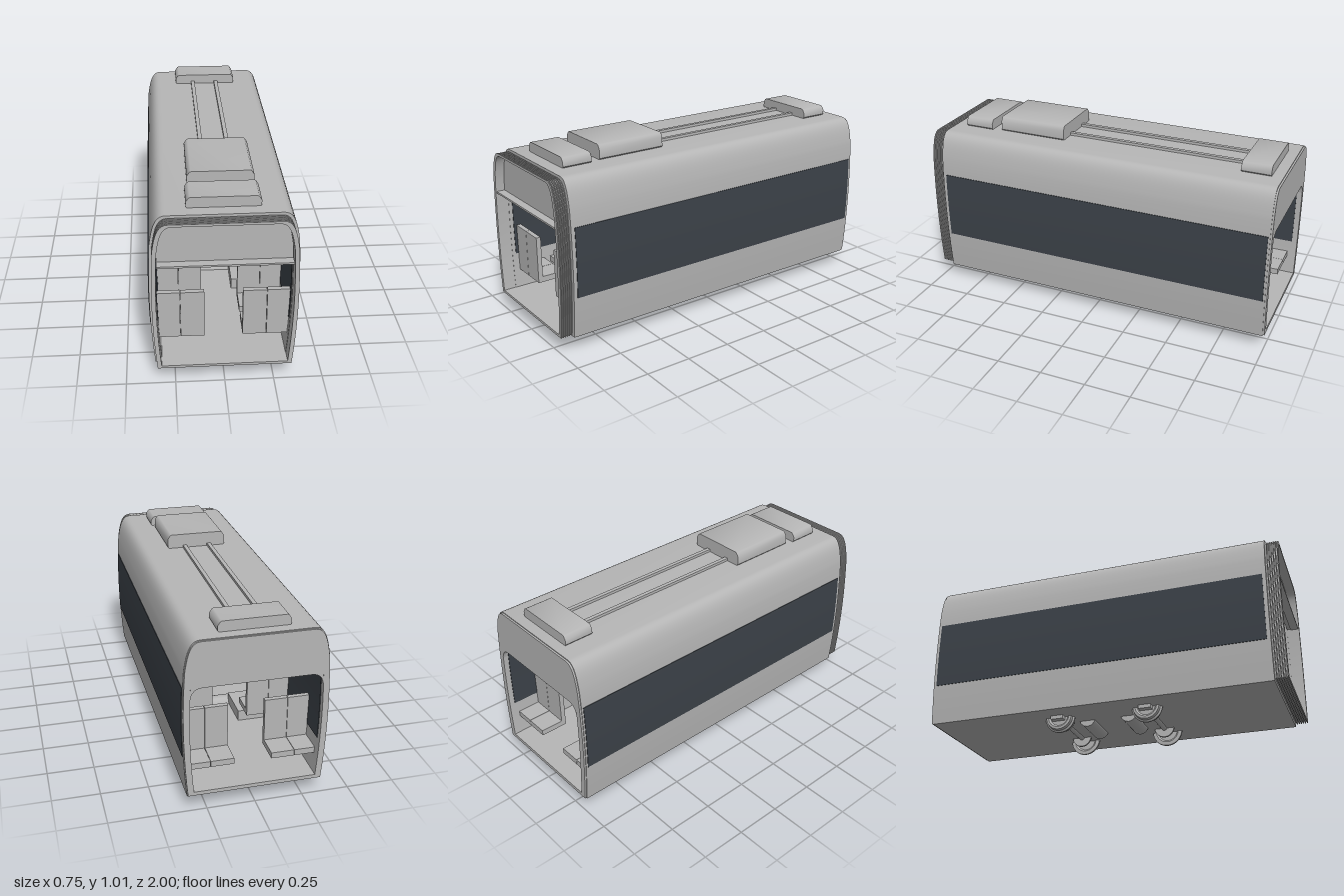
import * as THREE from 'three';
import { toCreasedNormals } from 'three/addons/utils/BufferGeometryUtils.js';

const V = (x, y) => new THREE.Vector2(x, y);
const side = y => 0.37 - 0.12 * (y - 0.5) ** 2; // half width of the bulging wall

// Half outline of the body from sill to roof
function halfOutline() {
  const pts = [];
  for (let i = 0; i < 10; i++) pts.push(V(side(0.085 + i * 0.0772), 0.085 + i * 0.0772));
  const corner = new THREE.CubicBezierCurve(V(side(0.78), 0.78), V(0.347, 0.87), V(0.333, 0.935), V(0.28, 0.935));
  pts.pop();
  return pts.concat(corner.getPoints(10));
}
const mirrored = half => half.concat(half.slice().reverse().map(p => V(-p.x, p.y)));
const scaled = (half, k, y0, y1) => half.map(p => V(p.x * k, y0 + (p.y - 0.085) * (y1 - y0) / 0.85));

export function createModel() {
  const group = new THREE.Group();
  const grey = new THREE.MeshStandardMaterial({ color: 0xb6b6b6 });
  grey.name = 'body grey';
  const dark = new THREE.MeshStandardMaterial({ color: 0x3c4249 });
  dark.name = 'dark glass';

  const add = (name, geo, x = 0, y = 0, z = 0, mat = grey, parent = group) => {
    const m = new THREE.Mesh(geo, mat);
    m.name = name;
    m.position.set(x, y, z);
    parent.add(m);
    return m;
  };
  const box = (name, x0, x1, y0, y1, z0, z1, mat = grey, parent = group) =>
    add(name, new THREE.BoxGeometry(x1 - x0, y1 - y0, z1 - z0), (x0 + x1) / 2, (y0 + y1) / 2, (z0 + z1) / 2, mat, parent);
  const extrude = (name, pts, z0, z1, hole, mat = grey) => {
    const shape = new THREE.Shape(pts);
    if (hole) shape.holes.push(new THREE.Path(hole));
    const geo = new THREE.ExtrudeGeometry(shape, { depth: z1 - z0, bevelEnabled: false });
    return add(name, toCreasedNormals(geo, 0.6), 0, 0, z0, mat);
  };
  const rod = (name, r, len, x, y, z, axis, sides = 24) => {
    const geo = new THREE.CylinderGeometry(r, r, len, sides);
    if (axis === 'x') geo.rotateZ(Math.PI / 2);
    if (axis === 'z') geo.rotateX(Math.PI / 2);
    return add(name, geo, x, y, z);
  };

  // Body shell, hollow from end to end
  const half = halfOutline();
  const outer = mirrored(half);
  const innerHalf = scaled(half, 0.905, 0.11, 0.915);
  const inner = mirrored(innerHalf);
  extrude('bodyShell', outer, -0.99, 0.93, inner);
  extrude('rearRim', mirrored(scaled(half, 0.99, 0.09, 0.93)), -1, -0.99, inner);

  // Rear end wall above the round-cornered opening
  const lintel = innerHalf.filter(p => p.y > 0.66);
  const arch = new THREE.QuadraticBezierCurve(V(0.332, 0.63), V(0.325, 0.69), V(0.27, 0.69)).getPoints(6);
  extrude('rearWall', mirrored(arch.slice().reverse().concat(lintel)), -1, -0.98);

  // Front end wall above the gangway, with its ledge
  const header = [V(0.33, 0.69)].concat(innerHalf.filter(p => p.y > 0.69));
  extrude('frontWall', mirrored(header), 0.93, 0.95);
  box('frontLedge', -0.33, 0.33, 0.685, 0.695, 0.95, 0.995);

  // Gangway bellows: a core sleeve with thin ribs
  const bellowsHole = mirrored(scaled(half, 0.91, 0.11, 0.912));
  extrude('bellowsSleeve', mirrored(scaled(half, 0.945, 0.104, 0.918)), 0.92, 0.998, bellowsHole);
  for (let i = 0; i < 6; i++) {
    const z = 0.937 + i * 0.0115;
    extrude('bellowsRib', mirrored(scaled(half, 0.968, 0.096, 0.925)), z, z + 0.0055, bellowsHole);
  }

  // Window bands, outside and inside each wall
  const ys = [0.31, 0.386, 0.462, 0.538, 0.614, 0.69];
  const innerSide = y => 0.905 * side((y - 0.11) * 0.85 / 0.805 + 0.085);
  for (const s of [1, -1]) {
    const band = (f, a, b) => ys.map(y => V(s * (f(y) + a), y)).concat(ys.slice().reverse().map(y => V(s * (f(y) + b), y)));
    extrude('windowOutside', band(side, -0.002, 0.003), -0.98, 0.91, null, dark);
    extrude('windowInside', band(innerSide, -0.003, 0.002), -0.97, 0.91, null, dark);
  }

  // Roof equipment with chamfered tops
  const roofUnit = (name, w, top, z0, z1) => extrude(name, mirrored([
    V(w - 0.01, 0.93), V(w, 0.942), V(w, top - 0.024), V(w - 0.013, top - 0.004), V(w - 0.02, top)
  ]), z0, z1);
  roofUnit('frontRoofUnit', 0.182, 0.99, 0.695, 0.86);
  roofUnit('mainRoofUnit', 0.168, 1.015, 0.25, 0.64);
  roofUnit('rearRoofUnit', 0.182, 0.99, -0.93, -0.77);
  for (const x of [-0.075, 0.069]) box('roofConduit', x - 0.011, x + 0.011, 0.93, 0.95, -0.78, 0.7);

  // Seat pairs on both sides of the aisle
  const rows = [[0.88, -1], [0.56, 1], [-0.5, 1], [-0.81, -1]];
  for (const [z, face] of rows) for (const s of [1, -1]) for (const x of [0.157, 0.279]) {
    const seat = new THREE.Group();
    seat.name = 'seat';
    seat.position.set(s * x, 0, z);
    box('seatBack', -0.06, 0.06, 0.21, 0.475, -0.013, 0.013, grey, seat);
    const c = box('seatCushion', -0.06, 0.06, 0.21, 0.242, -0.065, 0.065, grey, seat);
    c.position.z = face * 0.075;
    group.add(seat);
  }

  // Hanging display and grab rails
  box('displayCase', -0.088, 0.086, 0.608, 0.667, -0.015, 0.015);
  for (const z of [0.0165, -0.0165]) box('displayScreen', -0.08, 0.078, 0.615, 0.66, z - 0.002, z + 0.002, dark);
  rod('displayHanger', 0.005, 0.26, 0, 0.79, 0, 'y', 8);
  for (const x of [-0.118, 0.118]) rod('grabRail', 0.005, 1.2, x, 0.57, 0, 'z', 8);

  // Wheel sets with axles, brake discs, springs and covers
  const wheelProfile = [V(0.001, -0.012), V(0.055, -0.01), V(0.065, -0.02), V(0.085, -0.018),
    V(0.086, -0.008), V(0.076, -0.002), V(0.073, 0.016), V(0.06, 0.018), V(0.05, 0.008), V(0.001, 0.012)];
  for (const z of [0.22, -0.28]) {
    rod('axle', 0.016, 0.44, 0, 0.088, z, 'x');
    for (const s of [1, -1]) {
      const wheelGeo = toCreasedNormals(new THREE.LatheGeometry(wheelProfile, 32).rotateZ(-Math.PI / 2), 0.6);
      const wheel = add('wheel', wheelGeo, s * 0.21, 0.09, z);
      if (s < 0) wheel.rotation.y = Math.PI;
      rod('brakeDisc', 0.056, 0.012, s * 0.135, 0.09, z, 'x');
      box('axleBox', s * 0.238 - 0.018, s * 0.238 + 0.018, 0.065, 0.13, z - 0.035, z + 0.035);
      rod('spring', 0.028, 0.08, s * 0.238, 0.165, z, 'y');
      box('wheelCover', s * 0.2125 - 0.1275, s * 0.2125 + 0.1275, 0.1, 0.17, z - 0.11, z + 0.11);
    }
  }
  // Traction motors under the floor
  for (const z of [0.09, -0.15]) rod('motor', 0.047, 0.22, -0.015, 0.098, z, 'x', 12);

  return group;
}
